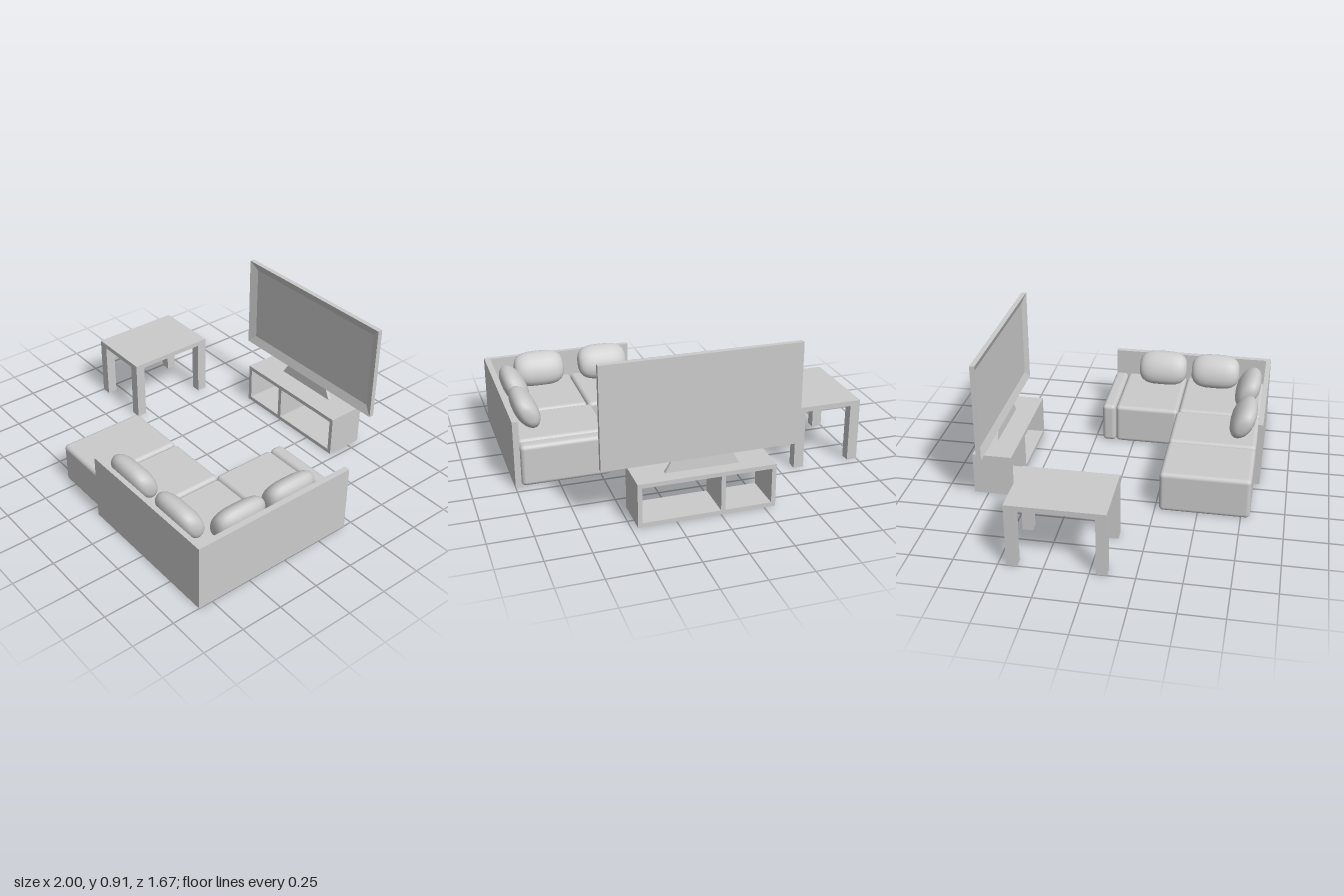
import * as THREE from 'three';
import { RoundedBoxGeometry } from 'three/addons/geometries/RoundedBoxGeometry.js';

const material = new THREE.MeshStandardMaterial({ color: 0xcccccc });

function add(parent, name, geometry, x = 0, y = 0, z = 0) {
  const mesh = new THREE.Mesh(geometry, material);
  mesh.name = name;
  mesh.position.set(x, y, z);
  parent.add(mesh);
  return mesh;
}

function group(parent, name) {
  const g = new THREE.Group();
  g.name = name;
  parent.add(g);
  return g;
}

// Sharp or rounded block given by its extents on each axis
function block(parent, name, [x0, x1], [y0, y1], [z0, z1], radius = 0) {
  const size = [x1 - x0, y1 - y0, z1 - z0];
  const geometry = radius
    ? new RoundedBoxGeometry(...size, 3, radius)
    : new THREE.BoxGeometry(...size);
  return add(parent, name, geometry, (x0 + x1) / 2, (y0 + y1) / 2, (z0 + z1) / 2);
}

// Flat-faced solid through rectangles [halfWidth, halfHeight, z]
function rectangleLoft(rings) {
  const loops = rings.map(([w, h, z]) => [[-w, -h, z], [w, -h, z], [w, h, z], [-w, h, z]]);
  const points = [];
  const quad = (a, b, c, d) => points.push(...a, ...b, ...c, ...a, ...c, ...d);
  for (let i = 0; i < loops.length - 1; i++) {
    for (let j = 0; j < 4; j++) {
      const k = (j + 1) % 4;
      quad(loops[i][j], loops[i][k], loops[i + 1][k], loops[i + 1][j]);
    }
  }
  quad(...loops[0].slice().reverse());
  quad(...loops[loops.length - 1]);
  const geometry = new THREE.BufferGeometry();
  geometry.setAttribute('position', new THREE.Float32BufferAttribute(points, 3));
  geometry.computeVertexNormals();
  return geometry;
}

// Plump pillow: a squared-off ellipsoid along x, its top leaning towards +z
function pillowGeometry() {
  const geometry = new THREE.SphereGeometry(1, 20, 14);
  geometry.rotateZ(-Math.PI / 2);
  const p = geometry.attributes.position;
  const n = geometry.attributes.normal;
  const power = (v, e) => Math.sign(v) * Math.abs(v) ** e;
  const half = [0.158, 0.113, 0.068];
  const normal = new THREE.Vector3();
  for (let i = 0; i < p.count; i++) {
    const x = p.getX(i);
    const r = Math.hypot(p.getY(i), p.getZ(i));
    const swell = r > 1e-5 ? power(r, 0.65) / r : 0;
    const y = p.getY(i) * swell;
    const z = p.getZ(i) * swell;
    const u = power(x, 0.65);
    // Gradient of the surface gives smooth normals
    const k = Math.hypot(y, z) ** (2 / 0.65 - 2);
    normal.set(power(u, 2 / 0.65 - 1) / half[0], (y * k) / half[1], (z * k) / half[2]).normalize();
    p.setXYZ(i, u * half[0], y * half[1], z * half[2]);
    n.setXYZ(i, normal.x, normal.y, normal.z);
  }
  geometry.rotateX(Math.PI / 6);
  return geometry;
}

function buildSofa(parent) {
  const sofa = group(parent, 'cornerSofa');
  block(sofa, 'longBackPanel', [0.06, 0.965], [0, 0.405], [0.805, 0.835]);
  block(sofa, 'sideBackPanel', [0.965, 1], [0, 0.405], [-0.197, 0.835]);

  // Seat blocks and the low end arm
  const seat = [0, 0.25];
  block(sofa, 'ottoman', [-0.335, 0.057], seat, [0.275, 0.802], 0.025);
  block(sofa, 'middleSeat', [0.06, 0.457], seat, [0.275, 0.802], 0.025);
  block(sofa, 'cornerSeat', [0.46, 0.962], seat, [0.285, 0.802], 0.025);
  block(sofa, 'endSeat', [0.44, 0.962], seat, [-0.115, 0.282], 0.025);
  block(sofa, 'endArm', [0.44, 0.962], seat, [-0.202, -0.118], 0.025);

  // Pillows, two against each back panel
  const geometry = pillowGeometry();
  for (const x of [0.26, 0.673]) add(sofa, 'longBackPillow', geometry, x, 0.345, 0.71);
  for (const z of [0.48, 0.132]) {
    add(sofa, 'sideBackPillow', geometry, 0.872, 0.345, z).rotation.y = Math.PI / 2;
  }
}

function buildTable(parent) {
  const table = group(parent, 'sideTable');
  block(table, 'tableTop', [-1, -0.595], [0.35, 0.38], [-0.453, 0.097]);
  for (const x of [-1, -0.655]) {
    for (const z of [-0.453, 0.037]) {
      block(table, 'tableLeg', [x, x + 0.06], [0, 0.35], [z, z + 0.06]);
    }
  }
}

function buildConsole(parent) {
  const unit = group(parent, 'mediaConsole');
  const depth = [-0.835, -0.6];
  for (const y of [0, 0.23]) block(unit, 'consoleBoard', [-0.315, 0.465], [y, y + 0.025], depth);
  for (const x of [-0.315, -0.025, 0.44]) {
    block(unit, 'consoleUpright', [x, x + 0.025], [0.025, 0.23], depth);
  }
}

function buildTelevision(parent) {
  const tv = group(parent, 'television');
  // Thin panel with a sloping frame around the sunken screen
  const panel = rectangleLoft([
    [0.56, 0.295, -0.015],
    [0.56, 0.295, 0.015],
    [0.507, 0.242, -0.005],
  ]);
  add(tv, 'screenPanel', panel, 0.08, 0.615, -0.743);
  // Tapered foot
  const foot = rectangleLoft([[0.21, 0.012, 0], [0.17, 0.006, 0.067]]);
  foot.rotateX(-Math.PI / 2);
  add(tv, 'screenFoot', foot, 0.08, 0.255, -0.743);
}

export function createModel() {
  const model = new THREE.Group();
  model.name = 'livingRoom';
  buildSofa(model);
  buildTable(model);
  buildConsole(model);
  buildTelevision(model);
  return model;
}
